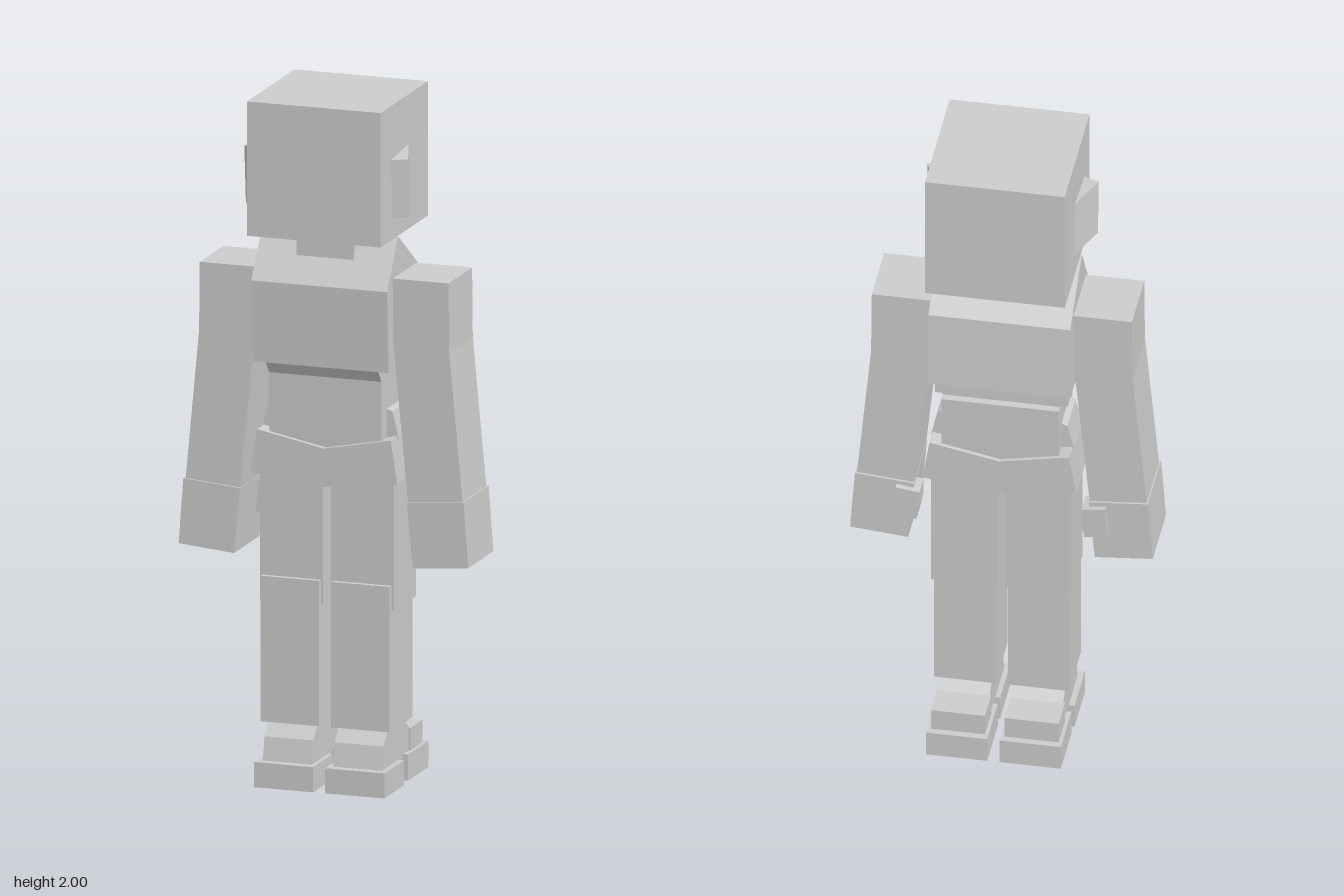
import * as THREE from 'three';

export function createModel() {
  const model = new THREE.Group();
  model.name = 'blockFigure';
  const grey = new THREE.MeshStandardMaterial({ color: 0xcccccc });
  grey.name = 'lightGrey';

  const add = (name, geometry) => {
    const mesh = new THREE.Mesh(geometry, grey);
    mesh.name = name;
    model.add(mesh);
    return mesh;
  };
  const extrude = (points, depth) => new THREE.ExtrudeGeometry(
    new THREE.Shape(points.map(([a, b]) => new THREE.Vector2(a, b))),
    { depth, bevelEnabled: false });

  // Box from its limits on each axis
  const box = (name, x0, x1, y0, y1, z0, z1) => add(name,
    new THREE.BoxGeometry(Math.abs(x1 - x0), y1 - y0, z1 - z0)
      .translate((x0 + x1) / 2, (y0 + y1) / 2, (z0 + z1) / 2));

  // Side outline of [z, y] points spanning x0 to x1
  const sideProfile = (name, points, x0, x1) => add(name,
    extrude(points, Math.abs(x1 - x0)).rotateY(-Math.PI / 2).translate(Math.max(x0, x1), 0, 0));

  // Front outline of [x, y] points spanning z0 to z1
  const frontProfile = (name, points, z0, z1) => add(name,
    extrude(points, z1 - z0).translate(0, 0, z0));

  // Head and neck
  box('head', -0.2, 0.2, 1.61, 2, -0.185, 0.21);
  box('neck', -0.085, 0.085, 1.48, 1.615, -0.06, 0.117);

  // Chest with sloped shoulders, waist and belt
  sideProfile('chest', [
    [0.072, 1.61], [0.165, 1.47], [0.152, 1.232], [0.11, 1.225], [-0.08, 1.24],
    [-0.13, 1.25], [-0.115, 1.48],
  ], -0.203, 0.203);
  sideProfile('waist', [
    [0.145, 1.235], [0.115, 1.195], [0.11, 0.92], [-0.1, 0.92], [-0.103, 1.18],
    [-0.08, 1.18], [-0.08, 1.25],
  ], -0.168, 0.168);
  frontProfile('belt', [
    [-0.2, 1.03], [0, 0.99], [0.2, 1.03], [0.22, 0.905], [0, 0.878], [-0.22, 0.905],
  ], -0.113, 0.127);

  for (const [side, s] of [['left', 1], ['right', -1]]) {
    const mirror = points => points.map(([x, y]) => [s * x, y]);

    // Wedge ear, leaning slightly forward
    const ear = add(side + 'Ear', extrude(
      mirror([[0.19, 0.03], [0.2, 0.03], [0.245, -0.1], [0.2, -0.12], [0.19, -0.12]]), 0.17)
      .rotateX(-Math.PI / 2).translate(0, -0.085, -0.045).rotateX(0.08));
    ear.position.set(0, 1.765, 0.045);

    // Tabs beside the waist
    box(side + 'UpperTab', s * 0.16, s * 0.19, 1.185, 1.235, -0.08, -0.02);
    frontProfile(side + 'HipTab', mirror([
      [0.16, 1.11], [0.185, 1.1], [0.205, 1.02], [0.16, 1.0],
    ]), -0.06, 0.07);

    // Arm, hand and thumb
    frontProfile(side + 'Arm', mirror([
      [0.205, 1.5], [0.372, 1.5], [0.374, 1.3], [0.415, 0.86], [0.252, 0.845], [0.208, 1.3],
    ]), -0.073, 0.124);
    frontProfile(side + 'Hand', mirror([
      [0.25, 0.855], [0.419, 0.87], [0.433, 0.68], [0.267, 0.665],
    ]), -0.08, 0.13);
    frontProfile(side + 'Thumb', mirror([
      [0.232, 0.79], [0.232, 0.838], [0.3, 0.848], [0.305, 0.75], [0.24, 0.745],
    ]), -0.097, -0.03);

    // Leg
    box(side + 'Thigh', s * 0.012, s * 0.2, 0.53, 0.95, -0.086, 0.1);
    box(side + 'Shin', s * 0.018, s * 0.193, 0.18, 0.602, -0.075, 0.115);

    // Shoe
    box(side + 'ToeSole', s * 0.018, s * 0.195, 0, 0.073, 0, 0.165);
    box(side + 'HeelSole', s * 0.018, s * 0.193, 0.004, 0.08, -0.207, -0.038);
    box(side + 'Arch', s * 0.05, s * 0.16, 0.012, 0.08, -0.04, 0.002);
    sideProfile(side + 'ShoeUpper', [
      [0.14, 0.07], [0.125, 0.14], [0.085, 0.185], [-0.03, 0.185], [-0.09, 0.145],
      [-0.09, 0.08], [-0.04, 0.07],
    ], s * 0.032, s * 0.178);
    box(side + 'Heel', s * 0.028, s * 0.183, 0.075, 0.145, -0.186, -0.085);
  }
  return model;
}
